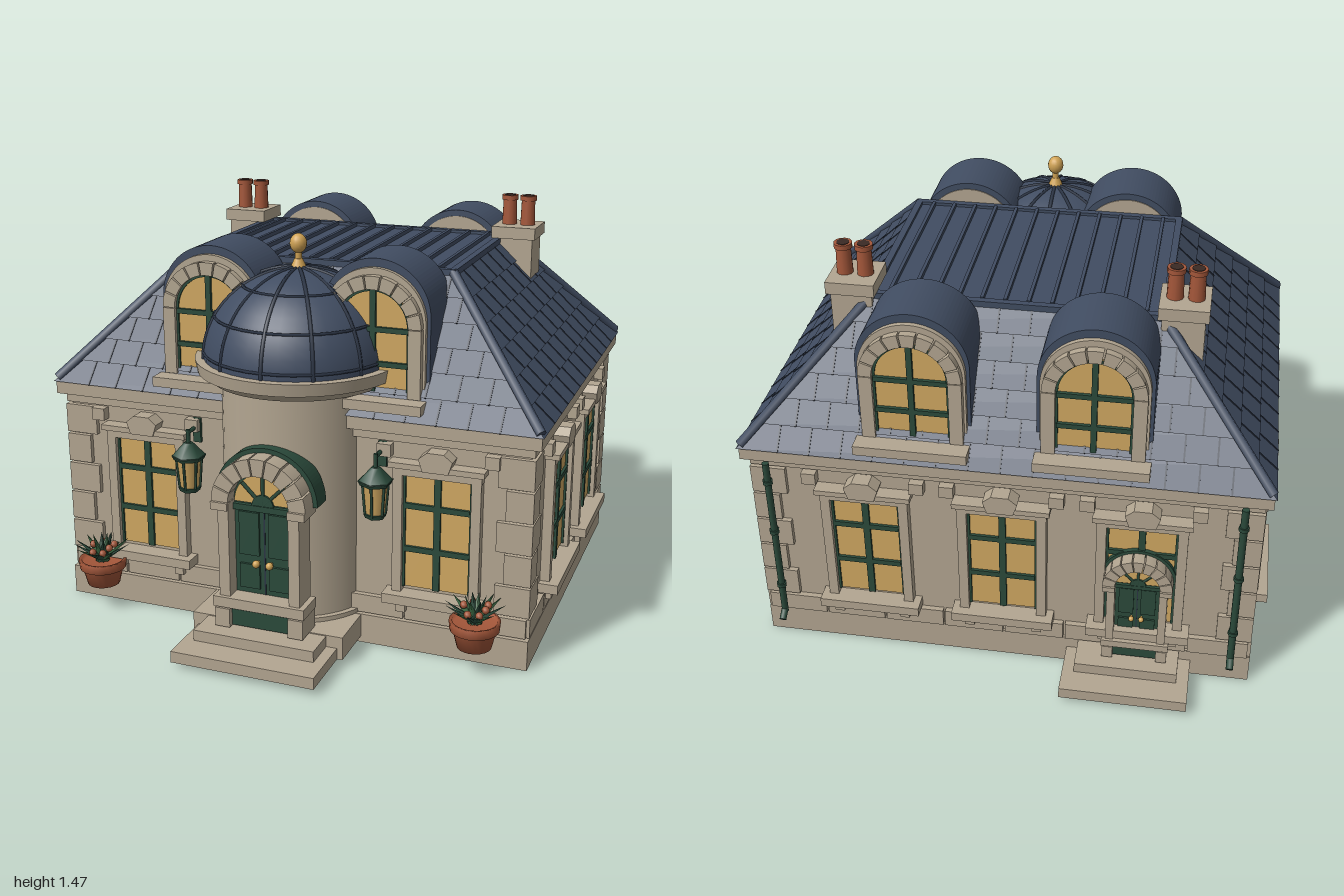
import * as THREE from 'three';

const mat = (name, color) => Object.assign(new THREE.MeshStandardMaterial({ color }), { name });
const stone = mat('stone', 0xb3a691);
const slate = mat('slate', 0x414d62);
const joint = mat('dark slate', 0x2c3545);
const glass = mat('warm glass', 0xd0a862);
const green = mat('painted green', 0x2b4a3b);
const clay = mat('terracotta', 0xa4573a);
const gold = mat('brass', 0xcfa254);
const leaf = mat('leaf', 0x3c6b45);
const hollow = mat('dark opening', 0x3a2a24);
leaf.side = THREE.DoubleSide;

function add(parent, name, geo, m, x = 0, y = 0, z = 0) {
  const mesh = new THREE.Mesh(geo, m);
  mesh.name = name;
  mesh.position.set(x, y, z);
  parent.add(mesh);
  return mesh;
}
function group(parent, name, x = 0, y = 0, z = 0, ry = 0) {
  const g = new THREE.Group();
  g.name = name;
  g.position.set(x, y, z);
  g.rotation.y = ry;
  parent.add(g);
  return g;
}
const box = (p, name, m, w, h, d, x, y, z) => add(p, name, new THREE.BoxGeometry(w, h, d), m, x, y, z);
const cyl = (p, name, m, r0, r1, h, x, y, z, n = 24) => add(p, name, new THREE.CylinderGeometry(r0, r1, h, n), m, x, y, z);
const extrude = (shape, depth) => new THREE.ExtrudeGeometry(shape, { depth, bevelEnabled: false, curveSegments: 24 });

function rod(p, name, m, a, b, r, n = 6) {
  const A = new THREE.Vector3(...a), d = new THREE.Vector3(...b).sub(A);
  const mesh = cyl(p, name, m, r, r, d.length(), 0, 0, 0, n);
  mesh.position.copy(A).addScaledVector(d, 0.5);
  mesh.quaternion.setFromUnitVectors(new THREE.Vector3(0, 1, 0), d.normalize());
}
function archShape(r, cy, y0) {
  const s = new THREE.Shape();
  s.moveTo(-r, y0);
  s.lineTo(r, y0);
  s.lineTo(r, cy);
  s.absarc(0, cy, r, 0, Math.PI, false);
  return s;
}
// ring of wedge stones forming a half-circle arch
function archRing(p, name, m, r0, r1, cy, n, z, depth) {
  const gap = n > 1 ? 0.018 : 0;
  for (let i = 0; i < n; i++) {
    const a0 = Math.PI * i / n + gap, a1 = Math.PI * (i + 1) / n - gap, s = new THREE.Shape();
    s.absarc(0, 0, r1, a0, a1, false);
    s.absarc(0, 0, r0, a1, a0, true);
    add(p, name, extrude(s, depth), m, 0, cy, z);
  }
}
// block whose top is smaller than its base
function frustum(x0, z0, x1, z1, y0, y1) {
  const g = new THREE.BoxGeometry(2, 2, 2), a = g.attributes.position;
  for (let i = 0; i < a.count; i++) {
    const top = a.getY(i) > 0;
    a.setXYZ(i, a.getX(i) * (top ? x1 : x0), top ? y1 : y0, a.getZ(i) * (top ? z1 : z0));
  }
  g.computeVertexNormals();
  return g;
}

function addWindow(wall, x, w) {
  const g = group(wall, 'window', x);
  box(g, 'windowGlass', glass, 2 * w, 0.42, 0.012, 0, 0.45, 0.004);
  box(g, 'mullion', green, 0.024, 0.42, 0.012, 0, 0.45, 0.014);
  for (const y of [0.385, 0.545]) box(g, 'glazingBar', green, 2 * w - 0.015, 0.02, 0.012, 0, y, 0.014);
  for (const s of [-1, 1]) {
    box(g, 'sash', green, 0.008, 0.42, 0.012, s * (w - 0.004), 0.45, 0.012);
    box(g, 'windowJamb', stone, 0.034, 0.47, 0.035, s * (w + 0.017), 0.455, 0.017);
    box(g, 'corbel', stone, 0.05, 0.045, 0.035, s * (w + 0.068), 0.742, 0.017);
    box(g, 'sillBracket', stone, 0.035, 0.04, 0.04, s * w, 0.17, 0.02);
  }
  box(g, 'windowHead', stone, 2 * w + 0.07, 0.03, 0.035, 0, 0.675, 0.017);
  box(g, 'hoodMould', stone, 2 * w + 0.095, 0.02, 0.052, 0, 0.7, 0.026);
  const k = new THREE.Shape([[-0.045, 0.69], [0.045, 0.69], [0.06, 0.735], [0.03, 0.76], [-0.03, 0.76], [-0.06, 0.735]].map(p => new THREE.Vector2(...p)));
  add(g, 'keystone', extrude(k, 0.057), stone);
  box(g, 'sill', stone, 2 * w + 0.12, 0.035, 0.07, 0, 0.208, 0.035);
}

// arched doorway, standing at y = 0 with its wall at z = 0
function addPortal(parent, x, y, z, ry, s) {
  const g = group(parent, 'portal', x, y, z, ry);
  g.scale.setScalar(s);
  add(g, 'doorLeaf', extrude(archShape(0.117, 0.46, 0), 0.045), green);
  const fan = new THREE.Shape();
  fan.absarc(0, 0, 0.108, 0, Math.PI, false);
  add(g, 'fanlight', extrude(fan, 0.006), glass, 0, 0.455, 0.045);
  for (const a of [0.25, 0.5, 0.75]) rod(g, 'fanBar', green, [0, 0.45, 0.053], [0.11 * Math.cos(a * Math.PI), 0.45 + 0.11 * Math.sin(a * Math.PI), 0.053], 0.007);
  archRing(g, 'fanHub', green, 0.001, 0.04, 0.45, 1, 0.045, 0.014);
  box(g, 'transom', green, 0.23, 0.022, 0.03, 0, 0.438, 0.045);
  archRing(g, 'voussoir', stone, 0.112, 0.174, 0.46, 9, 0, 0.1);
  archRing(g, 'archTrim', green, 0.172, 0.19, 0.46, 1, -0.05, 0.08);
  for (const e of [-1, 1]) {
    box(g, 'doorJamb', stone, 0.04, 0.46, 0.1, e * 0.13, 0.23, 0.05);
    box(g, 'impost', stone, 0.062, 0.028, 0.11, e * 0.142, 0.45, 0.055);
    box(g, 'jambFoot', stone, 0.055, 0.07, 0.115, e * 0.137, 0.035, 0.055);
    for (const [py, ph] of [[0.18, 0.09], [0.34, 0.16]]) box(g, 'doorPanel', green, 0.075, ph, 0.012, e * 0.055, py, 0.048);
    add(g, 'doorKnob', new THREE.SphereGeometry(0.014, 12, 8), gold, e * 0.025, 0.235, 0.066);
    rod(g, 'knobStem', gold, [e * 0.025, 0.235, 0.04], [e * 0.025, 0.235, 0.066], 0.006);
  }
  box(g, 'meetingStile', joint, 0.005, 0.43, 0.006, 0, 0.215, 0.044);
  box(g, 'doorRail', stone, 0.34, 0.038, 0.115, 0, 0.095, 0.057);
  box(g, 'kickPanel', green, 0.27, 0.06, 0.09, 0, 0.032, 0.045);
}

function addDormer(parent, x, z, ry) {
  const g = group(parent, 'dormer', x, 0, z, ry);
  add(g, 'dormerRoof', extrude(archShape(0.194, 1.192, 0.92), 0.24), slate, 0, 0, -0.28);
  add(g, 'dormerBack', extrude(archShape(0.17, 1.192, 1.1), 0.004), stone, 0, 0, -0.284);
  add(g, 'dormerFace', extrude(archShape(0.182, 1.175, 0.9), 0.02), stone, 0, 0, -0.042);
  add(g, 'dormerGlass', extrude(archShape(0.132, 1.16, 0.93), 0.006), glass, 0, 0, -0.022);
  archRing(g, 'dormerVoussoir', stone, 0.128, 0.174, 1.16, 9, -0.025, 0.03);
  archRing(g, 'dormerSash', green, 0.12, 0.13, 1.16, 1, -0.02, 0.01);
  for (const s of [-1, 1]) {
    box(g, 'dormerJamb', stone, 0.046, 0.24, 0.03, s * 0.151, 1.04, -0.01);
    box(g, 'dormerSash', green, 0.01, 0.23, 0.01, s * 0.125, 1.045, -0.014);
  }
  box(g, 'dormerMullion', green, 0.02, 0.355, 0.012, 0, 1.11, -0.01);
  for (const y of [1.03, 1.15]) box(g, 'dormerBar', green, 0.25, 0.018, 0.012, 0, y, -0.01);
  box(g, 'dormerSill', stone, 0.39, 0.035, 0.12, 0, 0.9, 0.005);
}

function addLantern(parent, x) {
  const g = group(parent, 'lantern', x, 0, 0.64);
  rod(g, 'lanternArm', green, [0, 0.735, -0.09], [0, 0.735, 0], 0.008);
  rod(g, 'lanternHanger', green, [0, 0.745, 0], [0, 0.69, 0], 0.008);
  box(g, 'lanternWallPlate', green, 0.03, 0.09, 0.012, 0, 0.72, -0.074);
  cyl(g, 'lanternRoof', green, 0.016, 0.062, 0.05, 0, 0.672, 0, 6);
  cyl(g, 'lanternBrim', green, 0.062, 0.055, 0.016, 0, 0.642, 0, 6);
  cyl(g, 'lanternGlass', glass, 0.044, 0.034, 0.105, 0, 0.58, 0, 6);
  cyl(g, 'lanternBase', green, 0.042, 0.036, 0.016, 0, 0.522, 0, 6);
  for (let i = 0; i < 6; i++) {
    const s = Math.sin(i * Math.PI / 3), c = Math.cos(i * Math.PI / 3);
    rod(g, 'lanternRib', green, [0.045 * s, 0.635, 0.045 * c], [0.036 * s, 0.525, 0.036 * c], 0.005);
  }
}

function addPlanter(parent, x) {
  const g = group(parent, 'planter', x, 0.1, 0.66);
  const profile = [[0, 0], [0.06, 0], [0.076, 0.065], [0.086, 0.065], [0.089, 0.098], [0.078, 0.098], [0.074, 0.085], [0, 0.085]];
  add(g, 'flowerPot', new THREE.LatheGeometry(profile.map(p => new THREE.Vector2(...p)), 20), clay);
  for (let i = 0; i < 18; i++) {
    const outer = i < 11, pivot = group(g, 'leafPivot', 0, 0.085, 0, i * 2.4);
    const l = add(pivot, 'leaf', new THREE.ConeGeometry(0.026, outer ? 0.125 : 0.105, 4), i % 2 ? leaf : green, 0, outer ? 0.04 : 0.052, outer ? 0.052 : 0.02);
    l.scale.z = 0.35;
    l.rotation.x = outer ? 1.0 : 0.4;
  }
  for (let i = 0; i < 6; i++) add(g, 'blossom', new THREE.SphereGeometry(0.014, 8, 6), clay, 0.045 * Math.cos(i * 2.4 + 1), 0.135 + 0.008 * (i % 3), 0.045 * Math.sin(i * 2.4 + 1));
}

export function createModel() {
  const root = new THREE.Group();
  root.name = 'pavilion';
  const house = group(root, 'house', 0, 0, -0.11);

  // plinth, walls and cornice
  box(house, 'plinth', stone, 1.78, 0.11, 1.38, 0, 0.055, 0.01);
  box(house, 'walls', stone, 1.74, 0.72, 1.34, 0, 0.46, 0);
  box(house, 'frieze', stone, 1.77, 0.035, 1.37, 0, 0.79, 0);
  box(house, 'cornice', stone, 1.82, 0.045, 1.42, 0, 0.83, 0);
  for (const sx of [-1, 1]) for (const sz of [-1, 1]) for (let i = 0; i < 5; i++) {
    const l = i % 2 ? 0.095 : 0.125;
    box(house, 'quoin', stone, l, 0.108, l, sx * (0.888 - l / 2), 0.245 + i * 0.116, sz * (0.688 - l / 2));
  }
  const sides = [
    [0, 0.67, 0.87, [-0.555, 0.555], 0.122], [1, 0.87, 0.67, [-0.266, 0.266], 0.145],
    [2, 0.67, 0.87, [-0.485, 0, 0.485], 0.122], [3, 0.87, 0.67, [-0.266, 0.266], 0.145]];
  for (const [q, dist, half, xs, w] of sides) {
    const pivot = group(house, 'facade', 0, 0, 0, q * Math.PI / 2);
    const wall = group(pivot, 'wallFace', 0, 0, dist);
    xs.forEach(x => addWindow(wall, x, w));
    const n = Math.round(half * 9), step = 2 * (half + 0.012) / n;
    for (let i = 0; i < n; i++) box(wall, 'baseBlock', stone, step - 0.008, 0.068, 0.02, (i + 0.5) * step - half - 0.012, 0.148, 0.01);
  }

  // hipped roof in overlapping slate courses
  const [X0, Z0, X1, Z1, Y0, Y1, N] = [0.905, 0.705, 0.5, 0.36, 0.855, 1.3, 6];
  const mix = THREE.MathUtils.lerp, lip = 0.012;
  for (let i = 0; i < N; i++) {
    const a = i / N, b = (i + 1) / N, m = (a + b) / 2, h = (Y1 - Y0) / N;
    add(house, 'slateCourse', frustum(mix(X0, X1, a) + lip, mix(Z0, Z1, a) + lip, mix(X0, X1, b), mix(Z0, Z1, b), mix(Y0, Y1, a), mix(Y0, Y1, b)), slate);
    for (let q = 0; q < 4; q++) {
      const [d0, d1, w] = q % 2 ? [X0, X1, mix(Z0, Z1, m)] : [Z0, Z1, mix(X0, X1, m)];
      const run = (d0 - d1) / N + lip, pivot = group(house, 'slateJoints', 0, 0, 0, q * Math.PI / 2);
      for (let x = -0.99 + (i % 2) * 0.055; x < w - 0.03; x += 0.11) if (x > 0.03 - w)
        box(pivot, 'slateJoint', joint, 0.006, Math.hypot(h, run), 0.005, x, mix(Y0, Y1, m), mix(d0, d1, m) + lip / 2).rotation.x = -Math.atan2(run, h);
    }
  }
  for (const s of [-1, 1]) {
    for (const t of [-1, 1]) rod(house, 'hipRoll', slate, [s * X0, Y0 + 0.012, t * Z0], [s * X1, Y1, t * Z1], 0.018);
    box(house, 'ridgeTrim', slate, 1.02, 0.022, 0.025, 0, Y1, s * Z1);
    box(house, 'ridgeTrim', slate, 0.025, 0.022, 0.74, s * X1, Y1, 0);
  }
  for (let i = 0; i < 12; i++) box(house, 'standingSeam', slate, 0.012, 0.022, 0.7, -0.44 + i * 0.08, Y1 + 0.004, 0);

  // dormers, chimneys and downpipes
  for (const s of [-1, 1]) {
    addDormer(house, s * 0.305, 0.66, 0);
    addDormer(house, s * 0.305, -0.66, Math.PI);
    const c = group(house, 'chimney', s * 0.565, 0, -0.32);
    box(c, 'chimneyStack', stone, 0.145, 0.25, 0.145, 0, 1.2, 0);
    box(c, 'chimneyCap', stone, 0.17, 0.045, 0.175, 0, 1.335, 0);
    for (const e of [-1, 1]) {
      cyl(c, 'chimneyPot', clay, 0.026, 0.029, 0.11, e * 0.036, 1.41, 0, 12);
      cyl(c, 'chimneyPotRim', clay, 0.032, 0.032, 0.018, e * 0.036, 1.461, 0, 12);
      cyl(c, 'chimneyPotOpening', hollow, 0.022, 0.022, 0.004, e * 0.036, 1.47, 0, 12);
    }
    rod(house, 'downpipe', green, [s * 0.82, 0.12, -0.71], [s * 0.82, 0.8, -0.71], 0.013, 8);
    for (const y of [0.25, 0.5, 0.72]) cyl(house, 'pipeCollar', green, 0.018, 0.018, 0.015, s * 0.82, y, -0.71, 8);
    rod(house, 'pipeShoe', green, [s * 0.82, 0.13, -0.71], [s * 0.82, 0.105, -0.745], 0.013, 8);
  }

  // round entrance tower with ribbed dome
  const tower = group(root, 'tower', 0, 0, 0.45);
  cyl(tower, 'towerWall', stone, 0.278, 0.278, 0.84, 0, 0.53, 0, 48);
  cyl(tower, 'towerFoot', stone, 0.298, 0.298, 0.03, 0, 0.11, 0, 48);
  cyl(tower, 'towerCorniceLower', stone, 0.34, 0.315, 0.03, 0, 0.948, 0, 48);
  cyl(tower, 'towerCornice', stone, 0.368, 0.36, 0.045, 0, 0.985, 0, 48);
  const dome = group(tower, 'dome', 0, 1.005, 0);
  dome.scale.y = 0.94;
  add(dome, 'domeShell', new THREE.SphereGeometry(0.338, 36, 14, 0, Math.PI * 2, 0, Math.PI / 2), slate);
  for (let i = 0; i < 6; i++) add(dome, 'domeRib', new THREE.TorusGeometry(0.338, 0.007, 5, 32, Math.PI), joint).rotation.y = i * Math.PI / 6;
  for (const a of [0.08, 0.5, 0.95]) add(dome, 'domeBand', new THREE.TorusGeometry(0.338 * Math.cos(a), 0.006, 5, 40), joint, 0, 0.338 * Math.sin(a), 0).rotation.x = Math.PI / 2;
  cyl(tower, 'finialBase', gold, 0.014, 0.03, 0.035, 0, 1.335, 0, 16);
  cyl(tower, 'finialStem', gold, 0.012, 0.012, 0.05, 0, 1.36, 0, 12);
  add(tower, 'finialBall', new THREE.SphereGeometry(0.03, 16, 12), gold, 0, 1.405, 0).scale.y = 1.15;

  // doorways and steps
  addPortal(root, 0, 0.11, 0.735, 0, 1);
  addPortal(root, -0.48, 0.11, -0.785, Math.PI, 0.7);
  box(root, 'landing', stone, 0.57, 0.085, 0.3, 0, 0.066, 0.63);
  box(root, 'lowerStep', stone, 0.53, 0.042, 0.42, 0, 0.044, 0.79);
  box(root, 'upperStep', stone, 0.45, 0.042, 0.32, 0, 0.084, 0.74);
  box(root, 'backLowerStep', stone, 0.45, 0.042, 0.25, -0.455, 0.044, -0.875);
  box(root, 'backUpperStep', stone, 0.365, 0.042, 0.16, -0.455, 0.084, -0.83);

  for (const s of [-1, 1]) {
    addLantern(root, s * 0.353);
    addPlanter(root, s * 0.72);
  }
  return root;
}
